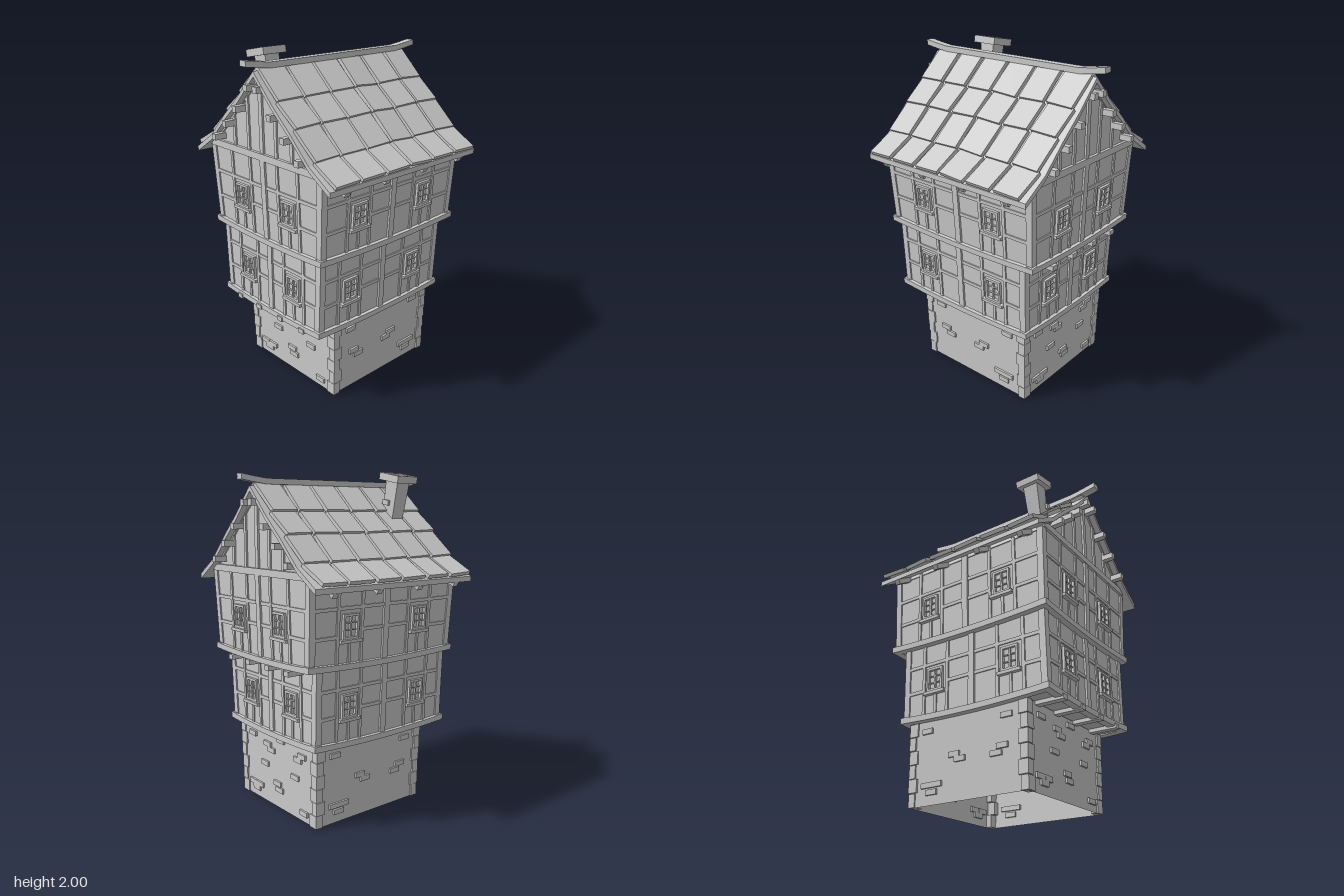
import * as THREE from 'three';

const mat = new THREE.MeshStandardMaterial({ color: 0xcccccc, flatShading: true, side: THREE.DoubleSide });

let seed = 7;
const jitter = (a) => {
  seed = (seed * 16807) % 2147483647;
  return (seed / 2147483647 - 0.5) * 2 * a;
};

function add(parent, name, geo, x = 0, y = 0, z = 0) {
  const m = new THREE.Mesh(geo, mat);
  m.name = name;
  m.position.set(x, y, z);
  parent.add(m);
  return m;
}
const box = (parent, name, w, h, d, x, y, z) => add(parent, name, new THREE.BoxGeometry(w, h, d), x, y, z);

function group(parent, name) {
  const g = new THREE.Group();
  g.name = name;
  parent.add(g);
  return g;
}

// Straight timber between two points
function bar(parent, name, a, b, w, d) {
  const p = new THREE.Vector3(...a), q = new THREE.Vector3(...b);
  const m = box(parent, name, w, p.distanceTo(q), d, 0, 0, 0);
  m.position.copy(p).add(q).multiplyScalar(0.5);
  m.quaternion.setFromUnitVectors(new THREE.Vector3(0, 1, 0), q.sub(p).normalize());
  return m;
}

// Flared wall block; rectangles are [half width, back z, front z]
function flaredBlock({ y0, y1, bottom, top }, open) {
  const g = new THREE.BoxGeometry(1, 1, 1), p = g.attributes.position;
  for (let i = 0; i < p.count; i++) {
    const up = p.getY(i) > 0, r = up ? top : bottom;
    p.setXYZ(i, Math.sign(p.getX(i)) * r[0], up ? y1 : y0, p.getZ(i) > 0 ? r[2] : r[1]);
  }
  if (open) g.setIndex([...g.index.array].filter((_, i) => i < 18 || i >= 24));
  g.computeVertexNormals();
  return g;
}

// One group per wall: local x along the wall, y up it, z outwards
function eachWall(parent, s, build) {
  const { bottom: b, top: t } = s;
  const walls = [
    ['front', 0, b[2], t[2]], ['left', Math.PI / 2, b[0], t[0]],
    ['back', Math.PI, -b[1], -t[1]], ['right', -Math.PI / 2, b[0], t[0]],
  ];
  for (const [name, angle, d0, d1] of walls) {
    const g = group(parent, name + 'Wall');
    const side = name === 'left' || name === 'right';
    g.rotation.order = 'YXZ';
    g.rotation.y = angle;
    g.rotation.x = Math.atan((d1 - d0) / (s.y1 - s.y0));
    g.position.set(Math.sin(angle) * d0, s.y0, side ? (b[1] + b[2]) / 2 : Math.cos(angle) * d0);
    build(g, side ? (b[2] - b[1]) / 2 : b[0], name);
  }
}

function windowUnit(parent, x, y) {
  const g = group(parent, 'window');
  g.position.set(x, y, 0);
  for (const s of [-1, 1]) {
    box(g, 'windowJamb', 0.014, 0.14, 0.024, s * 0.048, 0, 0.004);
    box(g, 'windowRail', 0.11, 0.014, 0.024, 0, s * 0.063, 0.004);
    box(g, 'glazingBar', 0.09, 0.006, 0.016, 0, s * 0.02, 0.002);
  }
  box(g, 'mullion', 0.01, 0.12, 0.018, 0, 0, 0.003);
  box(g, 'windowSill', 0.15, 0.018, 0.04, 0, -0.08, 0.006);
}

// Sill beam sagging in the middle
function saggingBeam(parent, len, y) {
  const g = new THREE.BoxGeometry(len, 0.034, 0.045, 8, 1, 1), p = g.attributes.position;
  for (let i = 0; i < p.count; i++) p.setY(i, p.getY(i) + 0.016 * (2 * p.getX(i) / len) ** 2);
  add(parent, 'sillBeam', g, 0, y, 0);
}

function timberStorey(parent, name, s) {
  const g = group(parent, name), h = s.y1 - s.y0;
  add(g, 'plasterWall', flaredBlock(s));
  for (const sx of [-1, 1]) for (const k of [1, 2]) {
    bar(g, 'cornerPost', [sx * (s.bottom[0] - 0.012), s.y0, s.bottom[k] - Math.sign(s.bottom[k]) * 0.012],
      [sx * (s.top[0] - 0.012), s.y1, s.top[k] - Math.sign(s.top[k]) * 0.012], 0.04, 0.04);
  }
  eachWall(g, s, (w, half, wallName) => {
    const u = wallName === 'front' || wallName === 'back' ? 0.205 : 0.26;
    saggingBeam(w, 2 * half + 0.045, 0);
    box(w, 'centrePost', 0.04, h, 0.024, 0, h / 2, 0);
    for (const m of [-1, 1]) {
      windowUnit(w, m * u, 0.225);
      box(w, 'innerStud', 0.02, h, 0.016, m * (u - 0.085), h / 2, 0);
      box(w, 'outerStud', 0.02, h, 0.016, m * (u + 0.085), h / 2, 0);
      box(w, 'headRail', half - 0.02, 0.02, 0.014, m * half / 2, 0.325, 0);
      box(w, 'innerRail', u - 0.09, 0.02, 0.014, m * (u - 0.09) / 2, 0.2, 0);
      box(w, 'outerRail', half - u - 0.09, 0.02, 0.014, m * (half + u + 0.08) / 2, 0.17, 0);
      box(w, 'shortStud', 0.018, 0.14, 0.014, m * u, 0.07, 0);
    }
  });
}

function stoneBase(parent) {
  const g = group(parent, 'stoneBase');
  const s = { y0: 0, y1: 0.475, bottom: [0.372, -0.42, 0.358], top: [0.388, -0.425, 0.366] };
  add(g, 'stoneWall', flaredBlock(s, true));
  // Corner stones
  for (const sx of [-1, 1]) for (const k of [1, 2]) for (let i = 0; i < 6; i++) {
    const t = (i + 0.5) / 6, a = i % 2 ? 0.045 : 0.06, b = i % 2 ? 0.06 : 0.045;
    const x = THREE.MathUtils.lerp(s.bottom[0], s.top[0], t) + 0.009 + jitter(0.002);
    const z = THREE.MathUtils.lerp(s.bottom[k], s.top[k], t), sz = Math.sign(z);
    box(g, 'cornerStone', a, 0.076, b, sx * (x - a / 2), t * 0.475, z + sz * (0.009 - b / 2));
  }
  // Raised bricks
  const long = [[-0.26, 0.41], [-0.1, 0.38], [-0.06, 0.35], [-0.13, 0.25], [0.04, 0.435], [0.25, 0.395], [0.21, 0.365],
    [0.18, 0.25], [0, 0.155], [0.02, 0.12], [-0.27, 0.09], [-0.195, 0.09], [-0.23, 0.06], [0.26, 0.055]];
  const short = [[-0.27, 0.41], [0.27, 0.415], [-0.24, 0.25], [-0.2, 0.215], [0.08, 0.255], [0.04, 0.225],
    [0.2, 0.11], [0.27, 0.11], [0.235, 0.07]];
  eachWall(g, s, (w, half, name) => {
    const flip = name === 'right' ? -1 : 1;
    for (const [x, y] of name === 'front' || name === 'back' ? long : short)
      box(w, 'brick', 0.072, 0.03, 0.024, flip * x, y, 0);
  });
}

// Roof line from ridge to eave
const slope = [[0, 1.905], [0.15, 1.75], [0.285, 1.63], [0.43, 1.487], [0.585, 1.388]];

function bandShape(upper, lower) {
  const pts = [...upper.map(([x, y]) => [-x, y]).reverse(), ...upper.slice(1),
    ...lower.slice().reverse(), ...lower.slice(1).map(([x, y]) => [-x, y])];
  return new THREE.Shape(pts.map(([x, y]) => new THREE.Vector2(x, y)));
}

function roof(parent) {
  const g = group(parent, 'roof');
  const under = slope.map(([x, y]) => [x, y - 0.03]);
  const slab = new THREE.ExtrudeGeometry(bandShape(slope, under), { depth: 1.166, bevelEnabled: false });
  add(g, 'roofDeck', slab, 0, 0, -0.583);

  // Gable ends
  const gable = new THREE.Shape([[-0.485, 1.4], [0.485, 1.4], [0.475, 1.44], [0.285, 1.615], [0, 1.89],
    [-0.285, 1.615], [-0.475, 1.44]].map((p) => new THREE.Vector2(...p)));
  add(g, 'gableWall', new THREE.ExtrudeGeometry(gable, { depth: 1.07, bevelEnabled: false }), 0, 0, -0.535);
  for (const f of [-1, 1]) {
    box(g, 'tieBeam', 0.95, 0.04, 0.025, 0, 1.435, f * 0.54);
    box(g, 'gablePost', 0.03, 0.42, 0.02, 0, 1.66, f * 0.537);
    for (const s of [-1, 1]) {
      box(g, 'gableStud', 0.022, 0.3, 0.016, s * 0.12, 1.6, f * 0.537);
      box(g, 'gableStud', 0.022, 0.17, 0.016, s * 0.25, 1.54, f * 0.537);
      bar(g, 'gableRafter', [s * 0.01, 1.865, f * 0.537], [s * 0.45, 1.445, f * 0.537], 0.025, 0.018);
      // Purlin ends
      for (const [x, y] of [[0.04, 1.815], [0.15, 1.685], [0.255, 1.585], [0.365, 1.49]])
        box(g, 'purlinEnd', 0.035, 0.035, 0.1, s * x, y, f * 0.56);
    }
  }

  for (const s of [-1, 1]) {
    // Rafter feet below the eaves
    for (const z of [0.455, 0.16, -0.145, -0.45])
      bar(g, 'rafterFoot', [s * 0.43, 1.44, z], [s * 0.578, 1.345, z], 0.03, 0.035);
    // Tiles: six columns of four overlapping rows
    for (let c = 0; c < 6; c++) {
      const yaw = jitter(0.04), roll = jitter(0.05);
      for (let r = 0; r < 4; r++) {
        const [x0, y0] = slope[r], [x1, y1] = slope[r + 1];
        const len = Math.hypot(x1 - x0, y1 - y0), ang = Math.atan2(y0 - y1, x1 - x0);
        const t = box(g, 'roofTile', len + 0.005, 0.022, 0.165,
          s * ((x0 + x1) / 2 + 0.008), (y0 + y1) / 2 + 0.014, -0.47 + c * 0.188);
        t.rotation.set(roll + jitter(0.015), yaw + jitter(0.02), -s * (ang - 0.07), 'ZYX');
      }
    }
  }

  // Ridge beam with upturned ends
  const ridge = new THREE.BoxGeometry(0.05, 0.032, 1.29, 1, 1, 16), p = ridge.attributes.position;
  for (let i = 0; i < p.count; i++)
    p.setY(i, p.getY(i) + 0.022 * Math.max(0, (Math.abs(p.getZ(i)) - 0.5) / 0.145));
  add(g, 'ridgeBeam', ridge, 0, 1.929, 0);
}

// Square tube standing on its base
function squareTube(outer, inner, height) {
  const sq = (C, r) => new C([[-r, -r], [r, -r], [r, r], [-r, r]].map((q) => new THREE.Vector2(...q)));
  const shape = sq(THREE.Shape, outer / 2);
  shape.holes.push(sq(THREE.Path, inner / 2));
  return new THREE.ExtrudeGeometry(shape, { depth: height, bevelEnabled: false }).rotateX(-Math.PI / 2);
}

function chimney(parent) {
  const g = group(parent, 'chimney');
  g.position.set(-0.165, 1.675, 0.323);
  g.rotation.z = 0.19;
  const shaft = squareTube(0.1, 0.075, 0.285), p = shaft.attributes.position;
  for (let i = 0; i < p.count; i++) {
    const k = 0.82 + 0.18 * p.getY(i) / 0.285;
    p.setX(i, p.getX(i) * k);
    p.setZ(i, p.getZ(i) * k);
  }
  add(g, 'chimneyShaft', shaft);
  add(g, 'chimneyCap', squareTube(0.16, 0.092, 0.042), 0, 0.272, 0);
  box(g, 'chimneyStone', 0.03, 0.035, 0.1, 0.045, 0.14, 0.01);
  box(g, 'chimneyStone', 0.05, 0.03, 0.03, 0.02, 0.145, -0.045);
}

export function createModel() {
  const model = new THREE.Group();
  model.name = 'timberHouse';
  stoneBase(model);
  timberStorey(model, 'middleStorey',
    { y0: 0.48, y1: 0.93, bottom: [0.415, -0.455, 0.51], top: [0.432, -0.46, 0.508] });
  timberStorey(model, 'upperStorey',
    { y0: 0.935, y1: 1.415, bottom: [0.453, -0.525, 0.525], top: [0.48, -0.537, 0.537] });
  // Joists carrying the overhangs
  for (const x of [-0.29, -0.1, 0.1, 0.29]) {
    box(model, 'frontJoist', 0.042, 0.028, 0.22, x, 0.472, 0.43);
    box(model, 'backJoist', 0.042, 0.03, 0.16, x, 0.905, -0.48);
  }
  roof(model);
  chimney(model);
  return model;
}
